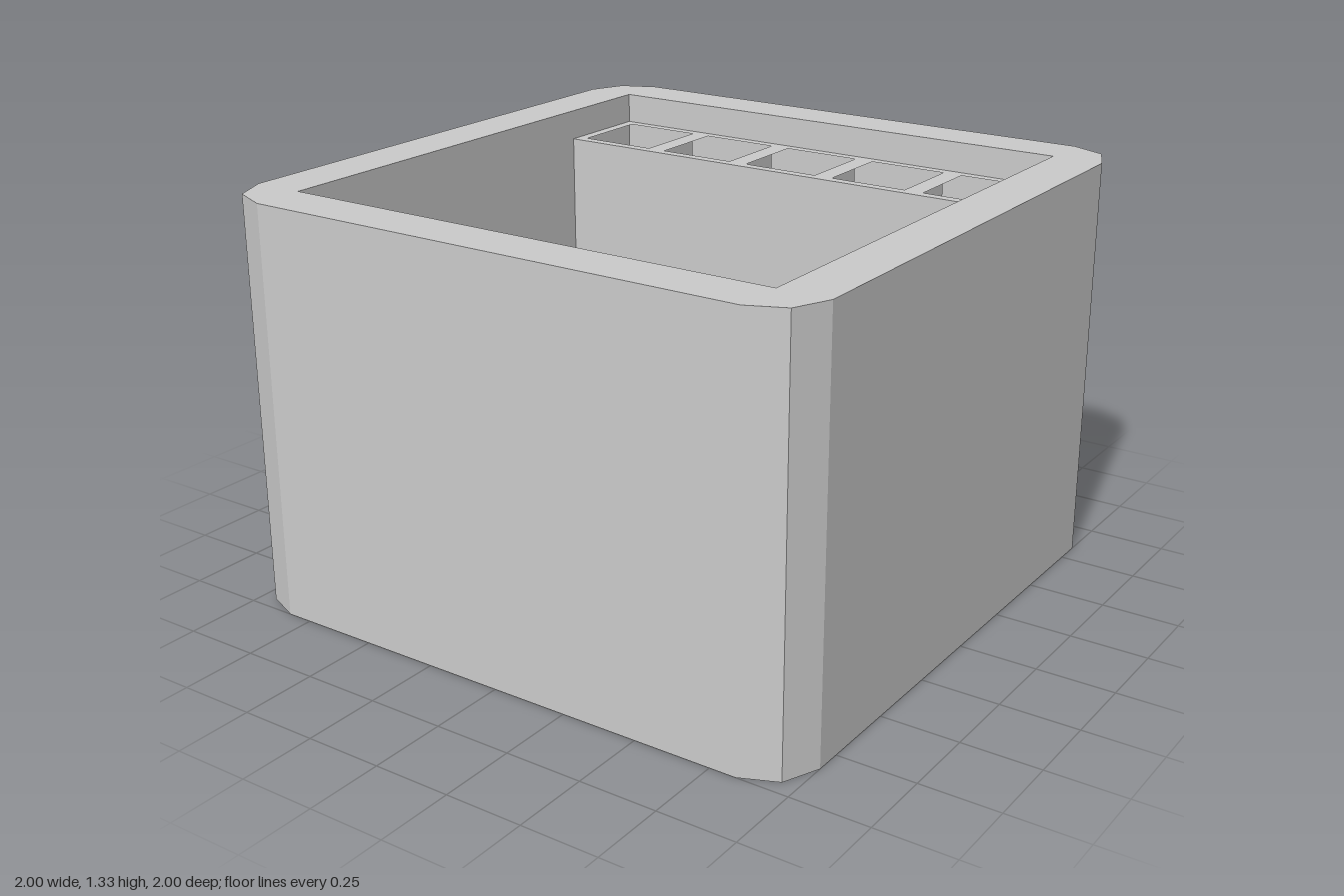
import * as THREE from 'three';

const material = new THREE.MeshStandardMaterial({ color: 0xcccccc, flatShading: true });

const HEIGHT = 1.333, FLOOR = 0.5, INNER = 0.835;   // body
const RACK_FRONT = -0.5, RACK_TOP = 1.233, SLOT_FLOOR = 1.1;   // slotted rack
const SLOT = 0.267, PITCH = 0.333, SLOT_Z = -0.668;

// Square outline with each corner cut by two facets
function outline() {
  const corner = [[1, 0.835], [0.95, 0.95], [0.835, 1]];
  const points = [];
  for (let i = 0; i < 4; i++) {
    for (const [x, y] of corner) {
      points.push(new THREE.Vector2(x, y).rotateAround(new THREE.Vector2(), i * Math.PI / 2));
    }
  }
  return new THREE.Shape(points);
}

// Rectangle in plan, given by x and z ranges (shape y is -z)
function rect(PathType, x0, x1, z0, z1) {
  return new PathType([[x0, -z0], [x1, -z0], [x1, -z1], [x0, -z1]].map(p => new THREE.Vector2(...p)));
}

// Plan shape raised from y0 to y1
function raise(name, shape, y0, y1) {
  const geometry = new THREE.ExtrudeGeometry(shape, { depth: y1 - y0, bevelEnabled: false });
  geometry.rotateX(-Math.PI / 2).translate(0, y0, 0);
  const mesh = new THREE.Mesh(geometry, material);
  mesh.name = name;
  return mesh;
}

export function createModel() {
  const group = new THREE.Group();
  group.name = 'deskOrganizer';

  // Thick solid base and walls around the square cavity
  group.add(raise('base', outline(), 0, FLOOR));
  const walls = outline();
  walls.holes.push(rect(THREE.Path, -INNER, INNER, -INNER, INNER));
  group.add(raise('walls', walls, FLOOR, HEIGHT));

  // Rack along the back: solid block topped by five square slots
  const block = rect(THREE.Shape, -INNER, INNER, -INNER, RACK_FRONT);
  group.add(raise('rackBlock', block, FLOOR, SLOT_FLOOR));
  const slots = rect(THREE.Shape, -INNER, INNER, -INNER, RACK_FRONT);
  for (let i = -2; i <= 2; i++) {
    const x = i * PITCH, h = SLOT / 2;
    slots.holes.push(rect(THREE.Path, x - h, x + h, SLOT_Z - h, SLOT_Z + h));
  }
  group.add(raise('rackSlots', slots, SLOT_FLOOR, RACK_TOP));

  return group;
}
